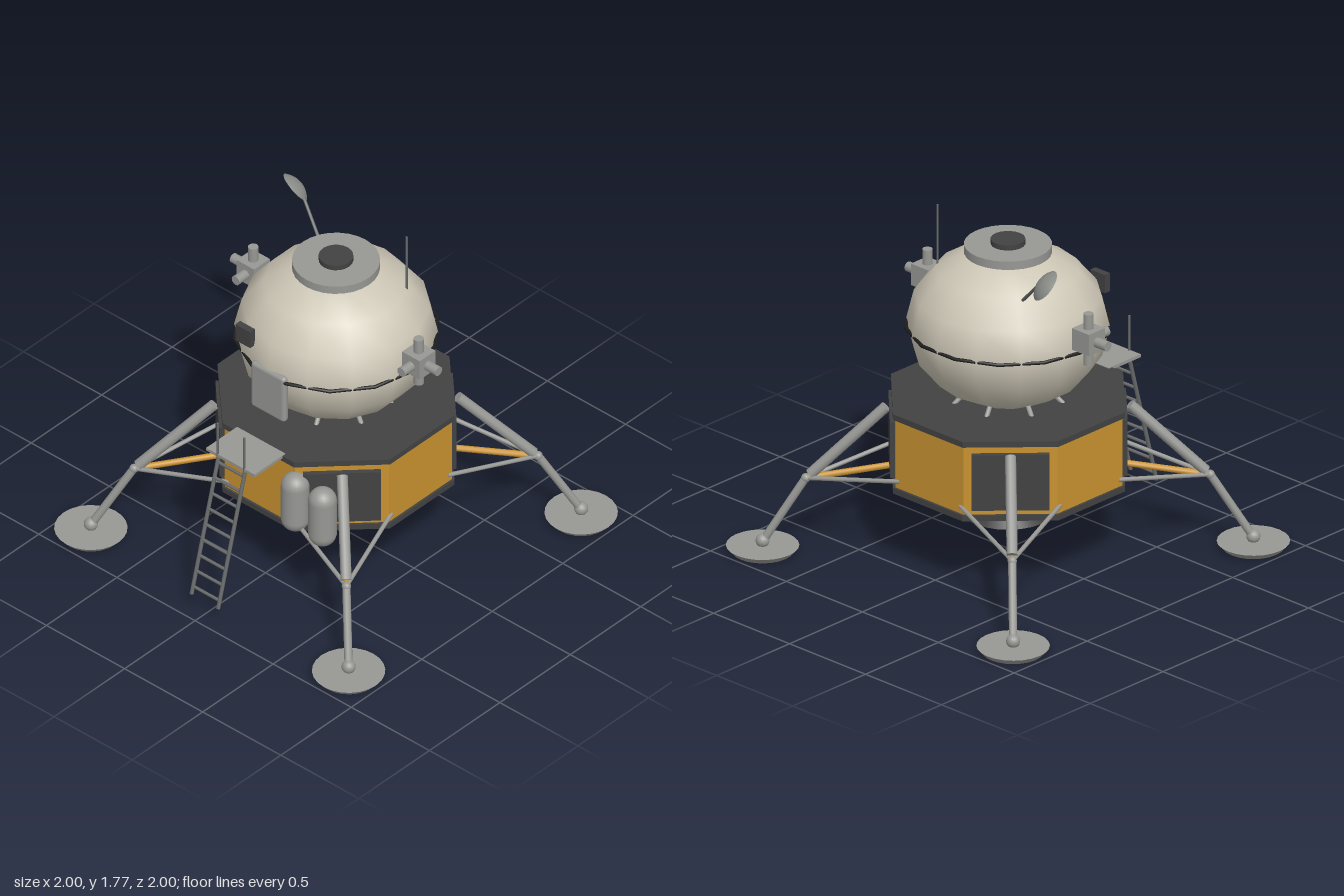
import * as THREE from 'three';
import { RoundedBoxGeometry } from 'three/addons/geometries/RoundedBoxGeometry.js';

const mat = (name, color) => Object.assign(new THREE.MeshStandardMaterial({ color }), { name });
const V = (x, y, z) => new THREE.Vector3(x, y, z);

export function createModel() {
  const root = new THREE.Group();
  root.name = 'lander';
  const cream = mat('cream hull', 0xcdc7b6);
  const gold = mat('gold foil', 0xc99230);
  const dark = mat('dark grey', 0x424242);
  const grey = mat('metal grey', 0x979894);
  const steel = mat('ladder grey', 0x6a6c6c);
  const black = mat('black rail', 0x1e1e1e);
  const dishGrey = mat('dish grey', 0x8a8c88);
  dishGrey.side = THREE.DoubleSide;

  const add = (name, geo, material, x = 0, y = 0, z = 0, parent = root) => {
    const m = new THREE.Mesh(geo, material);
    m.name = name;
    m.position.set(x, y, z);
    parent.add(m);
    return m;
  };
  // Round bar between two points
  const bar = (name, a, b, r, material, parent = root, sides = 10) => {
    const d = b.clone().sub(a);
    const m = add(name, new THREE.CylinderGeometry(r, r, d.length(), sides), material, 0, 0, 0, parent);
    m.position.copy(a).add(b).multiplyScalar(0.5);
    m.quaternion.setFromUnitVectors(V(0, 1, 0), d.normalize());
    return m;
  };
  // Faceted octagonal prism with flat sides to the front
  const octagon = (apothem, h) => {
    const r = apothem / Math.cos(Math.PI / 8);
    const g = new THREE.CylinderGeometry(r, r, h, 8).rotateY(Math.PI / 8).toNonIndexed();
    g.computeVertexNormals();
    return g;
  };

  // Descent stage
  add('descentBody', octagon(0.54, 0.37), gold, 0, 0.61, 0);
  add('topDeck', octagon(0.552, 0.03), dark, 0, 0.80, 0);
  add('bottomDeck', octagon(0.552, 0.03), dark, 0, 0.415, 0);
  add('engineNozzle', new THREE.CylinderGeometry(0.1, 0.22, 0.21, 24), dark, 0, 0.305, 0);

  // Legs, one on each diagonal, with an equipment panel behind it
  for (const sx of [-1, 1]) for (const sz of [-1, 1]) {
    const leg = new THREE.Group();
    leg.name = 'landingLeg';
    root.add(leg);
    const P = (x, y, z) => V(sx * x, y, sz * z);
    const knee = P(0.68, 0.38, 0.68);
    add('footPad', new THREE.CylinderGeometry(0.175, 0.148, 0.03, 24), grey, sx * 0.825, 0.017, sz * 0.825, leg);
    add('ankleBall', new THREE.SphereGeometry(0.034, 14, 10), grey, sx * 0.825, 0.055, sz * 0.825, leg);
    bar('lowerStrut', P(0.825, 0.05, 0.825), knee, 0.02, grey, leg);
    bar('upperStrut', P(0.665, 0.4, 0.665), P(0.41, 0.75, 0.41), 0.027, grey, leg);
    add('kneeJoint', new THREE.SphereGeometry(0.023, 10, 8), grey, knee.x, knee.y, knee.z, leg);
    bar('sideStrut', knee, P(0.2, 0.465, 0.535), 0.011, grey, leg);
    bar('sideStrut', knee, P(0.535, 0.465, 0.2), 0.011, grey, leg);
    bar('centreStrut', knee, P(0.37, 0.45, 0.37), 0.016, gold, leg);
    const panel = add('equipmentPanel', new THREE.BoxGeometry(0.37, 0.29, 0.03), dark,
      sx * 0.389, 0.605, sz * 0.389, leg);
    panel.rotation.y = Math.atan2(sx, sz);
  }

  // Supply tanks
  for (const x of [0.235, 0.41])
    add('tank', new THREE.CapsuleGeometry(0.069, 0.192, 8, 18), grey, x, 0.585, 0.55);

  // Porch and ladder
  add('porch', new THREE.BoxGeometry(0.31, 0.016, 0.22), grey, 0, 0.81, 0.64);
  const ladder = new THREE.Group();
  ladder.name = 'ladder';
  root.add(ladder);
  for (const x of [-0.085, 0.085]) {
    bar('ladderRail', V(x, 0.08, 0.93), V(x, 0.81, 0.735), 0.01, steel, ladder, 8);
    bar('handRail', V(x, 0.8, 0.745), V(x, 1.0, 0.745), 0.006, steel, ladder, 8);
  }
  for (let i = 0; i < 9; i++) {
    const y = 0.12 + i * 0.081, z = 0.93 - (y - 0.08) * 0.267;
    bar('rung', V(-0.085, y, z), V(0.085, y, z), 0.008, steel, ladder, 8);
  }

  // Ascent cabin
  const cabin = new THREE.SphereGeometry(0.487, 14, 8).rotateY(Math.PI / 2).scale(1, 0.82, 1);
  add('cabin', cabin, cream, 0, 1.185, 0);
  add('beltRail', new THREE.TorusGeometry(0.49, 0.009, 8, 14).rotateX(Math.PI / 2), black, 0, 1.185, 0);
  for (let i = 0; i < 8; i++) {
    const a = (i + 0.5) * Math.PI / 4, c = Math.cos(a), s = Math.sin(a);
    bar('cabinSupport', V(0.29 * c, 0.8, 0.29 * s), V(0.2 * c, 0.88, 0.2 * s), 0.012, grey);
  }
  add('dockingCollar', new THREE.CylinderGeometry(0.21, 0.21, 0.043, 28), grey, 0, 1.577, 0);
  add('dockingHatch', new THREE.CylinderGeometry(0.083, 0.083, 0.03, 20), dark, 0, 1.61, 0);
  add('frontDoor', new RoundedBoxGeometry(0.215, 0.265, 0.04, 4, 0.018), grey, 0, 1.08, 0.47);
  add('window', new THREE.BoxGeometry(0.095, 0.095, 0.035), dark, -0.178, 1.313, 0.447);

  // Thruster clusters
  for (const s of [-1, 1]) {
    const pod = new THREE.Group();
    pod.name = 'thrusterCluster';
    pod.position.set(s * 0.53, 1.268, 0);
    root.add(pod);
    add('thrusterBlock', new THREE.BoxGeometry(0.112, 0.112, 0.112), grey, 0, 0, 0, pod);
    bar('verticalThrusters', V(0, -0.133, 0), V(0, 0.133, 0), 0.025, grey, pod, 12);
    bar('sideThruster', V(-s * 0.09, 0, 0), V(s * 0.128, 0, 0), 0.025, grey, pod, 12);
    bar('frontThruster', V(0, 0, 0), V(0, 0, 0.125), 0.025, grey, pod, 12);
  }

  // Dish and whip antenna
  bar('dishArm', V(-0.29, 1.46, -0.2), V(-0.485, 1.64, -0.275), 0.008, steel, root, 8);
  const R = 0.12, half = Math.asin(0.083 / R);
  const cap = new THREE.SphereGeometry(R, 20, 5, 0, Math.PI * 2, 0, half).translate(0, -R, 0);
  const dish = add('dish', cap, dishGrey, -0.485, 1.645, -0.285);
  dish.quaternion.setFromUnitVectors(V(0, 1, 0), V(0.42, 0.65, -0.63).normalize());
  bar('whipAntenna', V(0.283, 1.42, -0.188), V(0.283, 1.775, -0.188), 0.005, steel, root, 8);

  return root;
}
